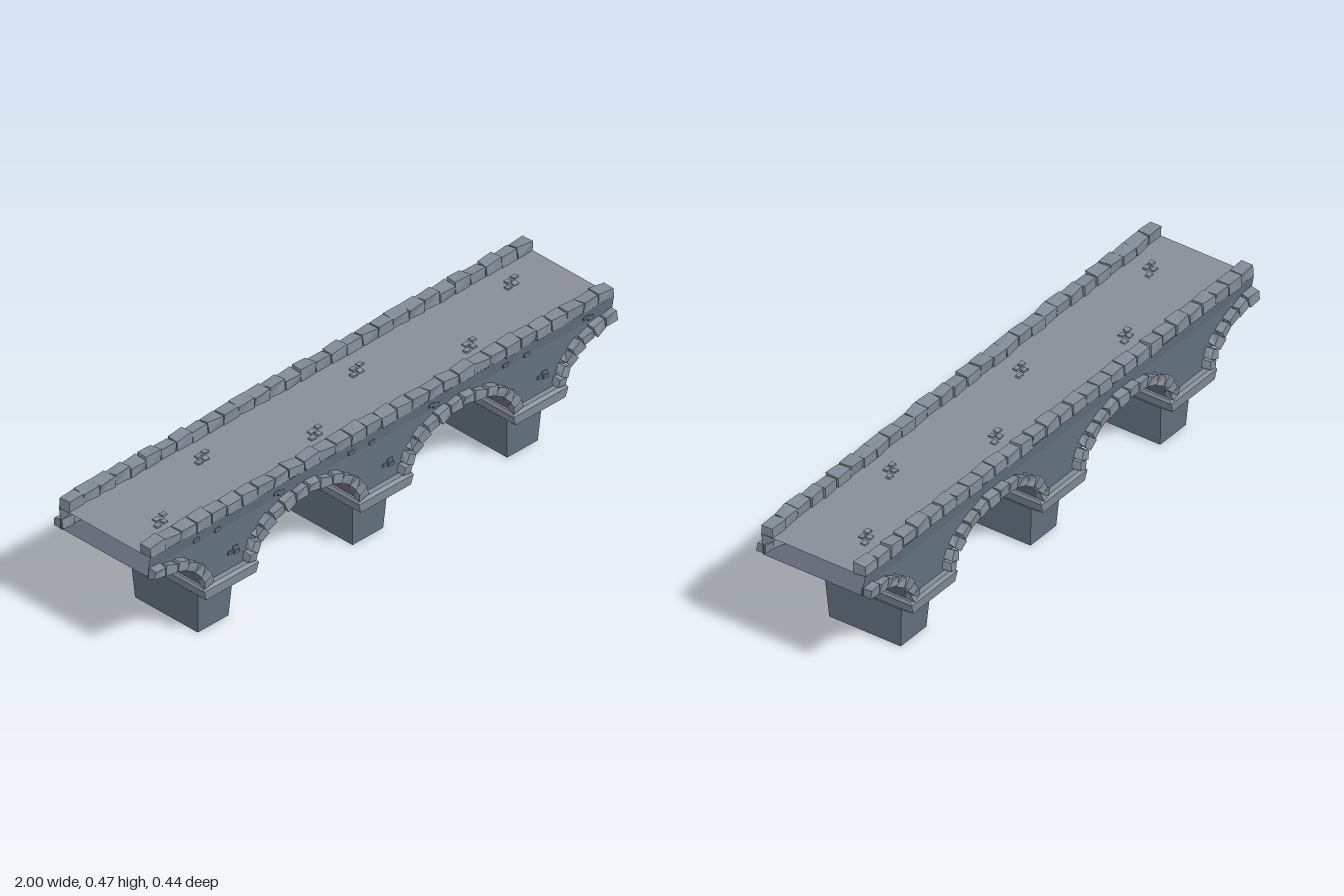
import * as THREE from 'three';

const mat = (name, color, extra = {}) => {
  const m = new THREE.MeshStandardMaterial({ color, flatShading: true, ...extra });
  m.name = name;
  return m;
};

// Small seeded generator for the hand-cut look of the stones
function seeded(seed) {
  return () => {
    seed = (seed * 16807) % 2147483647;
    return seed / 2147483647 - 0.5;
  };
}

// Non-indexed surface from rows of points
function surface(rows) {
  const p = [];
  for (let i = 0; i < rows.length - 1; i++) {
    for (let j = 0; j < rows[i].length - 1; j++) {
      const a = rows[i][j], b = rows[i][j + 1], c = rows[i + 1][j + 1], d = rows[i + 1][j];
      p.push(...a, ...b, ...c, ...a, ...c, ...d);
    }
  }
  const g = new THREE.BufferGeometry();
  g.setAttribute('position', new THREE.Float32BufferAttribute(p, 3));
  g.computeVertexNormals();
  return g;
}

// Stack of rectangles [y, halfX, halfZ], open at both ends
const rectLoft = (levels) => surface(levels.map(([y, x, z]) =>
  [[-x, y, z], [x, y, z], [x, y, -z], [-x, y, -z], [-x, y, z]]));

// Box whose eight corners are nudged, shared between faces
function stone(w, h, d, rnd, amount) {
  const g = new THREE.BoxGeometry(w, h, d);
  const p = g.attributes.position, corners = {};
  for (let i = 0; i < p.count; i++) {
    const v = [p.getX(i), p.getY(i), p.getZ(i)];
    const key = v.map(Math.sign).join();
    corners[key] ??= [rnd() * amount * 0.6, rnd() * amount, rnd() * amount];
    p.setXYZ(i, ...v.map((c, k) => c + corners[key][k]));
  }
  g.computeVertexNormals();
  return g;
}

export function createModel() {
  const wallMat = mat('blue grey masonry', 0x62717f, { side: THREE.DoubleSide });
  const soffitMat = mat('dark arch lining', 0x626776, { side: THREE.DoubleSide });
  const deckMat = mat('road grey', 0x878d98, { side: THREE.DoubleSide });
  const trimMat = mat('trim stone', 0x818a96);

  const HALF = 1 / 3, DECK = 0.432, SPRING = 0.22, RX = 0.228, RY = 0.138;
  const rnd = seeded(4711);
  const bay = new THREE.Group();
  const add = (name, geo, material, x = 0, y = 0, z = 0, rz = 0) => {
    const m = new THREE.Mesh(geo, material);
    m.name = name;
    m.position.set(x, y, z);
    m.rotation.z = rz;
    bay.add(m);
    return m;
  };
  // Half arch: t = 0 at the springing, 1 at the crown
  const arch = (t) => {
    const a = t * Math.PI / 2;
    return [HALF - RX * Math.cos(a), SPRING + RY * Math.sin(a)];
  };

  // Pier, hollow underneath, with a flared capital
  add('pier', rectLoft([[0, 0.066, 0.135], [0.15, 0.076, 0.145]]), wallMat);
  add('pierCapital', rectLoft([[0.145, 0.076, 0.145], [0.177, 0.108, 0.213],
    [0.211, 0.118, 0.215], [0.221, 0.113, 0.206], [0.221, 0.001, 0.001]]), trimMat);

  // Road surface
  add('deck', surface([
    [[-HALF, DECK, 0.194], [HALF, DECK, 0.194]],
    [[-HALF, DECK, -0.194], [HALF, DECK, -0.194]]]), deckMat);

  for (const side of [1, -1]) {
    // Arch linings on both flanks of the pier
    const line = [0, 1, 2, 3, 4].map((i) => arch(i / 4));
    add('archLining', surface([
      line.map(([x, y]) => [side * x, y, side * 0.188]),
      line.map(([x, y]) => [side * x, y, -side * 0.188])]), soffitMat);

    // Spandrel wall, leaning out slightly at the top
    const half = Array.from({ length: 9 }, (_, i) => arch(i / 8));
    const edge = [...half.map(([x, y]) => [-x, y]).reverse(), ...half];
    const row = (f) => edge.map(([x, y]) => {
      const h = f(y);
      return [side * x, h, side * (h > 0.42 ? 0.196 : 0.188)];
    });
    add('spandrelWall', surface([row((y) => y), row((y) => Math.max(y, 0.385)), row(() => DECK)]), wallMat);

    // Ring of arch stones
    const COUNT = 7;
    for (const flank of [1, -1]) {
      for (let i = 0; i < COUNT; i++) {
        const [x0, y0] = arch(i / COUNT), [x1, y1] = arch((i + 1) / COUNT);
        const dx = x1 - x0, dy = y1 - y0, len = Math.hypot(dx, dy);
        const px = (x0 + x1) / 2 - dy / len * 0.013, py = (y0 + y1) / 2 + dx / len * 0.013;
        add('archStone', stone(len * 0.95, 0.032, 0.032, rnd, 0.011), trimMat,
          flank * px, py, side * 0.2, flank * Math.atan2(dy, dx));
      }
    }

    // Parapet stones
    const N = 10, step = 2 * HALF / N;
    for (let i = 0; i < N; i++) {
      const h = 0.038 + rnd() * 0.006;
      add('parapetStone', stone(step * 0.95, h, 0.044, rnd, 0.009), trimMat,
        -HALF + (i + 0.5) * step, DECK + h / 2 - 0.002, side * 0.175);
    }
  }

  // Loose cobbles showing through the road
  for (const [cx, cz] of [[0.165, -0.075], [-0.165, 0.075]]) {
    for (const [dx, dz] of [[-0.03, 0.014], [0, 0.012], [-0.008, -0.01], [0.025, -0.016]]) {
      add('roadCobble', stone(0.02, 0.008, 0.016, rnd, 0.004), deckMat, cx + dx, DECK + 0.002, cz + dz);
    }
  }

  // Exposed blocks in the front wall
  for (const [x, y, z] of [[0.02, 0.28, 0.188], [0.045, 0.272, 0.188], [0.04, 0.29, 0.188],
    [-0.04, 0.395, 0.19], [0.215, 0.408, 0.192], [0.235, 0.4, 0.191], [-0.13, 0.4, 0.191]]) {
    add('wallBlock', stone(0.022, 0.013, 0.009, rnd, 0.004), wallMat, x, y, z);
  }

  // Three identical bays side by side
  const group = new THREE.Group();
  group.name = 'archBridge';
  ['rightBay', 'middleBay', 'leftBay'].forEach((name, i) => {
    const copy = bay.clone();
    copy.name = name;
    copy.position.x = (i - 1) * 2 * HALF;
    group.add(copy);
  });
  return group;
}
